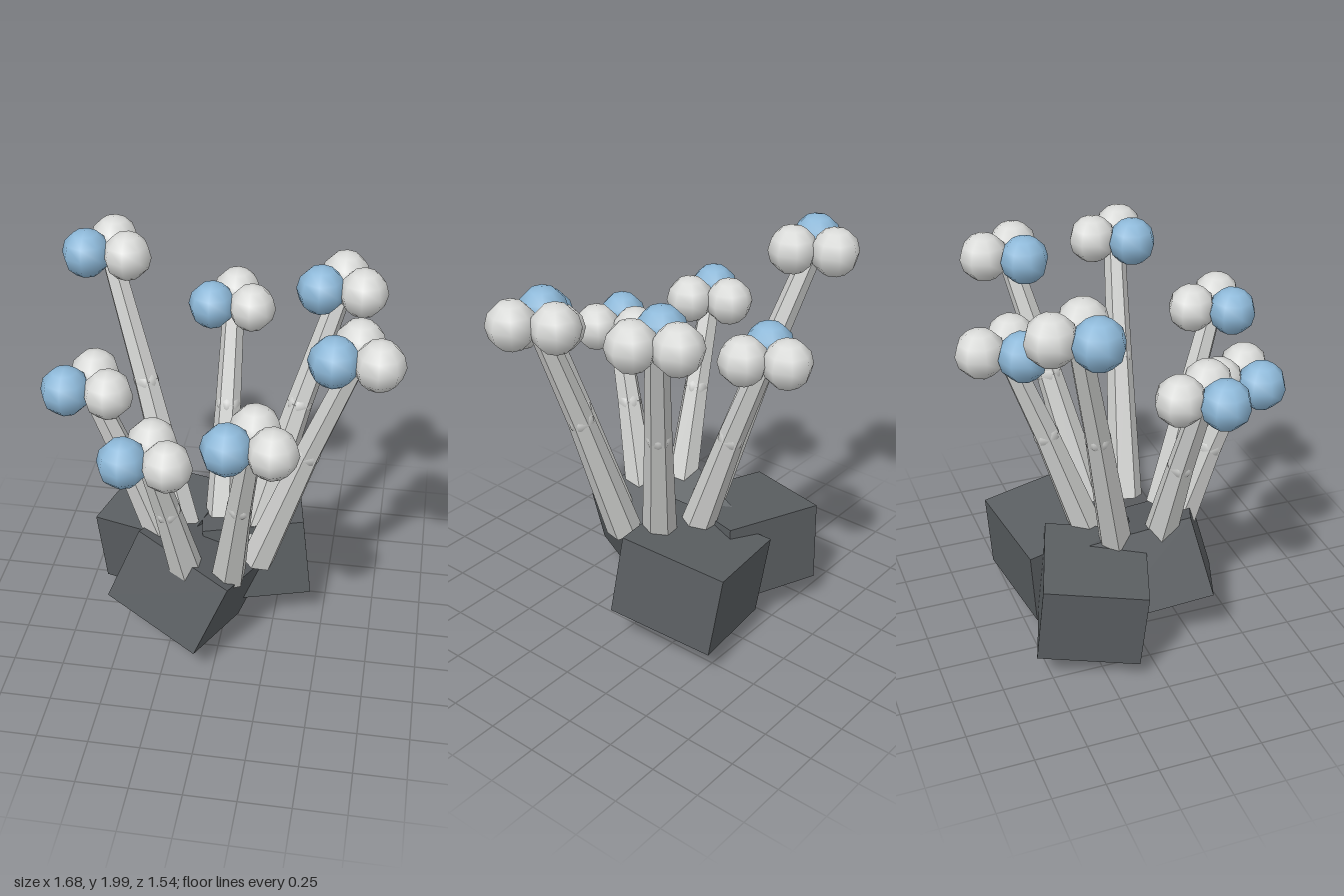
import * as THREE from 'three';

const material = (name, color) => Object.assign(new THREE.MeshStandardMaterial({ color }), { name });

// Separate face normals for crisp hexagonal stems
function faceted(geometry) {
  const g = geometry.toNonIndexed();
  g.computeVertexNormals();
  return g;
}

export function createModel() {
  const model = new THREE.Group();
  model.name = 'stalkCluster';
  const stone = material('dark stone', 0x5a5e61);
  const stemGrey = material('stem grey', 0xcfd0ce);
  const paleGrey = material('pale grey', 0xd9dad8);
  const blue = material('soft blue', 0x8db8d8);

  const add = (parent, name, geometry, mat) => {
    const mesh = new THREE.Mesh(geometry, mat);
    mesh.name = name;
    parent.add(mesh);
    return mesh;
  };

  // Tumbled base blocks: centre, size, and two edge directions
  const blocks = [
    ['frontBlock', [-0.162, 0.349, 0.115], [0.526, 0.407, 0.55], [0.464, -0.164, 0.185], [0.157, 0.37, -0.067]],
    ['backLeftBlock', [0.12, 0.352, -0.26], [0.51, 0.42, 0.55], [0.5, 0.055, -0.085], [-0.064, 0.413, -0.037]],
    ['backRightBlock', [-0.345, 0.34, -0.245], [0.53, 0.403, 0.494], [0.95, 0.06, 0.32], [-0.036, 0.4, 0.03]],
  ];
  for (const [name, centre, size, xEdge, yEdge] of blocks) {
    const block = add(model, name, new THREE.BoxGeometry(...size), stone);
    const x = new THREE.Vector3(...xEdge).normalize();
    const z = new THREE.Vector3().crossVectors(x, new THREE.Vector3(...yEdge)).normalize();
    const y = new THREE.Vector3().crossVectors(z, x);
    block.quaternion.setFromRotationMatrix(new THREE.Matrix4().makeBasis(x, y, z));
    block.position.set(...centre);
  }

  // Hexagonal stem segment between two [radius, height] points
  function segment(parent, name, from, to, rBottom, rTop) {
    const dr = to[0] - from[0], dy = to[1] - from[1];
    const geometry = faceted(new THREE.CylinderGeometry(rTop, rBottom, Math.hypot(dr, dy), 6));
    const mesh = add(parent, name, geometry, stemGrey);
    mesh.position.set((from[0] + to[0]) / 2, (from[1] + to[1]) / 2, 0);
    mesh.rotation.z = -Math.atan2(dr, dy);
  }

  // Seven bent stalks leaning out of a ring: tip reach and tip height
  const ringX = -0.045, ringZ = 0.07, ringRadius = 0.23, baseY = 0.5;
  const tips = [
    [0.615, 1.57], [0.70, 1.79], [0.68, 1.755], [0.577, 1.5],
    [0.512, 1.34], [0.57, 1.475], [0.74, 1.88],
  ];
  const bulb = new THREE.SphereGeometry(0.118, 8, 6);
  const knuckle = new THREE.SphereGeometry(0.064, 8, 6);

  tips.forEach(([reach, height], i) => {
    const angle = -Math.PI / 2 + (i / 7) * Math.PI * 2;
    const stalk = new THREE.Group();
    stalk.name = `stalk${i + 1}`;
    stalk.position.set(ringX, 0, ringZ);
    stalk.rotation.y = -angle;
    model.add(stalk);

    const base = [ringRadius, baseY];
    const joint = [ringRadius + (reach - ringRadius) * 0.525, baseY + (height - baseY) * 0.55];
    segment(stalk, 'lowerStem', base, joint, 0.087, 0.064);
    segment(stalk, 'upperStem', joint, [reach, height], 0.064, 0.052);
    add(stalk, 'joint', knuckle, stemGrey).position.set(joint[0], joint[1], 0);

    // Three bulbs in a triangle, the same way round on every stalk
    const cluster = new THREE.Group();
    cluster.name = `bulbs${i + 1}`;
    cluster.position.set(ringX + Math.cos(angle) * reach, height, ringZ + Math.sin(angle) * reach);
    model.add(cluster);
    add(cluster, 'blueBulb', bulb, blue).position.set(-0.1, 0, 0.057);
    add(cluster, 'sideBulb', bulb, paleGrey).position.set(0.098, 0, 0.057);
    add(cluster, 'backBulb', bulb, paleGrey).position.set(0, 0, -0.115);
  });

  return model;
}
